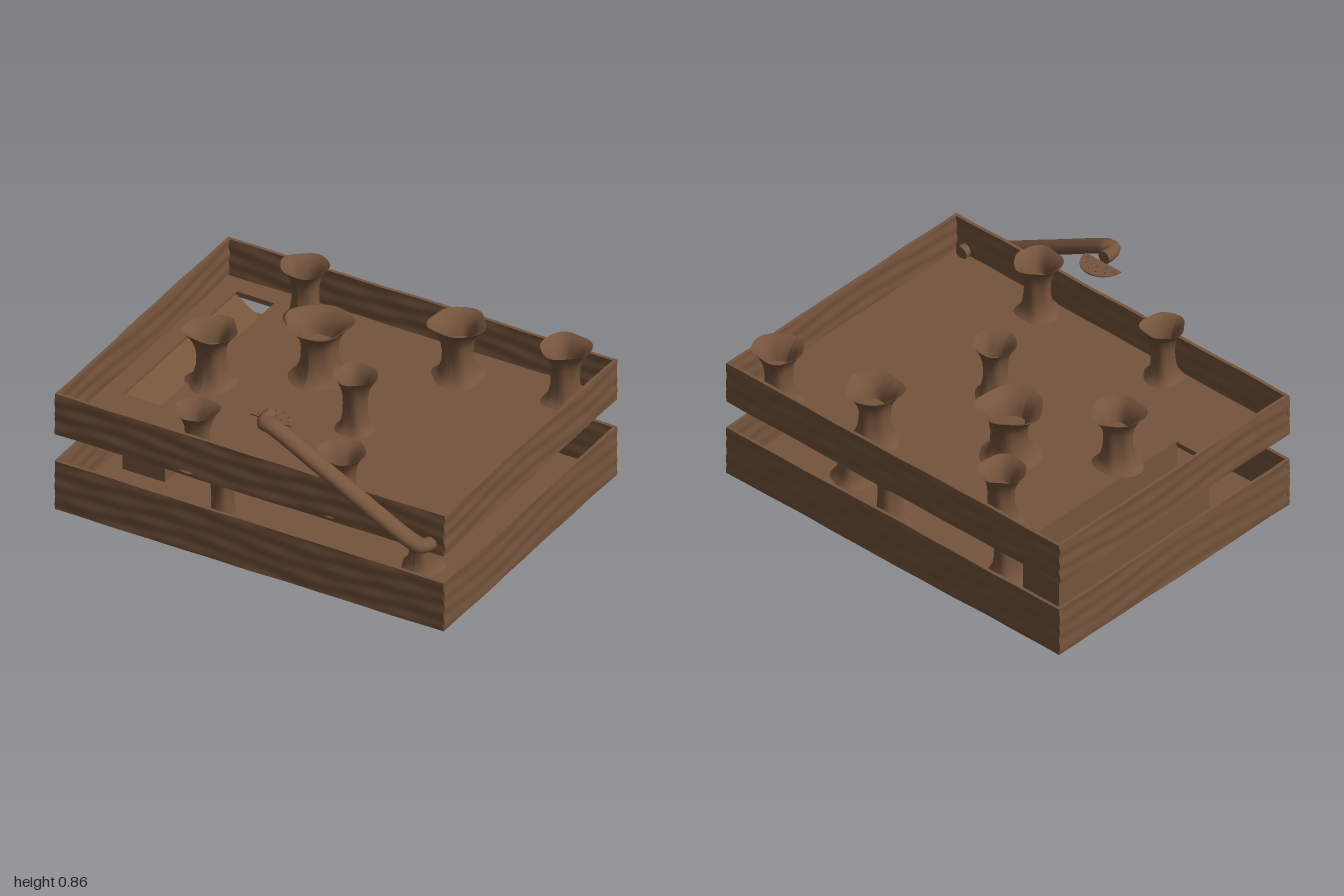
import * as THREE from 'three';

const wood = new THREE.MeshStandardMaterial({ color: 0x75543c });
wood.name = 'brown wood';

function add(parent, geometry, name) {
  const mesh = new THREE.Mesh(geometry, wood);
  mesh.name = name;
  parent.add(mesh);
  return mesh;
}

// Thin plank with shallow, wandering horizontal grain ridges
function plank(length, height, seed) {
  const g = new THREE.BoxGeometry(length, height, 0.016, 64, 14, 1);
  const p = g.attributes.position;
  for (let i = 0; i < p.count; i++) {
    const x = p.getX(i), y = p.getY(i);
    const wave = Math.sin(y * 85 + 1.6 * Math.sin(x * 5 + seed) + seed) + 0.5 * Math.sin(x * 17 + y * 40 + seed * 2);
    p.setZ(i, p.getZ(i) + 0.0022 * wave);
  }
  g.computeVertexNormals();
  return g;
}

function rectPath(path, x0, x1, z0, z1) {
  path.moveTo(x0, -z1);
  path.lineTo(x1, -z1);
  path.lineTo(x1, -z0);
  path.lineTo(x0, -z0);
  path.closePath();
  return path;
}

// Open tray: floor, optionally with a slot, and four planks
function tray(name, y, height, hole) {
  const t = new THREE.Group();
  t.name = name;
  t.position.y = y;
  const shape = rectPath(new THREE.Shape(), -0.985, 0.985, -0.785, 0.695);
  if (hole) shape.holes.push(rectPath(new THREE.Path(), ...hole));
  const floor = new THREE.ExtrudeGeometry(shape, { depth: 0.025, bevelEnabled: false });
  floor.rotateX(-Math.PI / 2);
  add(t, floor, 'trayFloor');
  [[0, 0.70, 0, 1.99], [0, -0.79, 0, 1.99], [0.988, -0.045, Math.PI / 2, 1.5], [-0.988, -0.045, Math.PI / 2, 1.5]]
    .forEach(([x, z, turn, len], i) => {
      const wall = add(t, plank(len, height, i * 1.7 + y * 5), 'trayWall');
      wall.position.set(x, height / 2, z);
      wall.rotation.y = turn;
    });
  return t;
}

// Irregular hourglass post with a funnel-shaped top: [radius factor, height factor]
const outline = [[0.98, 0], [0.8, 0.05], [0.65, 0.14], [0.56, 0.3], [0.54, 0.5], [0.57, 0.66], [0.65, 0.78], [0.8, 0.9], [1, 1]];
const funnel = [[1, 1], [0.82, 0.95], [0.65, 0.86], [0.53, 0.75], [0.46, 0.62]];
const cup = [[0.46, 0.62], [0, 0.62]];

function post(R, H, seed) {
  const g = new THREE.Group();
  g.name = 'post';
  [[outline, 'postStem'], [funnel, 'postFunnel'], [cup, 'postCupBottom']].forEach(([profile, name]) => {
    const geo = new THREE.LatheGeometry(profile.map(([r, y]) => new THREE.Vector2(r * R, y * H)), 30);
    const p = geo.attributes.position;
    for (let i = 0; i < p.count; i++) {
      const a = Math.atan2(p.getZ(i), p.getX(i)), y = p.getY(i) / H;
      const k = 1 + 0.05 * Math.sin(3 * a + seed + y * 2) + 0.035 * Math.sin(5 * a + seed * 2.3 - y * 3);
      p.setX(i, p.getX(i) * k);
      p.setZ(i, p.getZ(i) * k);
    }
    geo.computeVertexNormals();
    add(g, geo, name);
  });
  return g;
}

function posts(parent, list, y, top) {
  list.forEach(([x, z, R], i) => {
    const p = post(R, top - y, i * 1.9 + y * 7);
    p.position.set(x, y, z);
    parent.add(p);
  });
}

export function createModel() {
  const model = new THREE.Group();
  model.name = 'twoTierTray';

  // Trays
  model.add(tray('lowerTray', 0, 0.25));
  model.add(tray('upperTray', 0.39, 0.21, [-0.885, -0.69, -0.68, 0.3]));

  // Posts as [x, z, rim radius]
  posts(model, [[-0.45, -0.54, 0.11], [-0.26, 0.5, 0.095], [-0.01, -0.16, 0.14],
    [0.2, -0.6, 0.1], [0.54, -0.46, 0.115], [0.66, 0.32, 0.108]], 0.02, 0.37);
  posts(model, [[-0.51, -0.64, 0.11], [0.31, -0.58, 0.13], [0.82, -0.65, 0.117], [-0.22, -0.27, 0.152],
    [-0.6, 0.02, 0.122], [0.14, 0.02, 0.1], [-0.32, 0.62, 0.1], [0.41, 0.6, 0.11]], 0.41, 0.69);

  // Chute between the tiers, with a sloping top inside the slot
  const section = new THREE.Shape([[-0.885, 0], [-0.67, 0], [-0.67, 0.392], [-0.69, 0.392], [-0.69, 0.27], [-0.885, 0.4]]
    .map(([x, y]) => new THREE.Vector2(x, y)));
  const chute = new THREE.ExtrudeGeometry(section, { depth: 0.985, bevelEnabled: false });
  chute.translate(0, 0, -0.68);
  add(model, chute, 'chute');

  // Spout pipe, oval in section, bent toward the trays at both ends
  const spout = new THREE.Group();
  spout.name = 'spout';
  model.add(spout);
  const squash = 1.4, cz = 0.752;
  const path = new THREE.CatmullRomCurve3([
    [0.925, 0.44, 0.66], [0.925, 0.44, 0.72], [0.905, 0.44, 0.75], [0.85, 0.455, cz], [0.5, 0.635, cz],
    [0.19, 0.8, cz], [0.14, 0.823, cz], [0.1, 0.825, 0.745], [0.09, 0.825, 0.72], [0.09, 0.825, 0.68],
  ].map(([x, y, z]) => new THREE.Vector3(x, y, (z - cz) / squash)), false, 'centripetal');
  const pipe = add(spout, new THREE.TubeGeometry(path, 80, 0.032, 16), 'pipe');
  pipe.scale.z = squash;
  pipe.position.z = cz;
  [path.getPoint(0), path.getPoint(1)].forEach((end) => {
    const cap = add(spout, new THREE.CircleGeometry(0.032, 16), 'pipeEnd');
    cap.rotation.y = Math.PI;
    cap.position.set(end.x, end.y, end.z * squash + cz);
  });

  // Perforated half-round plate under the spout
  const fan = new THREE.Shape();
  fan.absarc(0, 0, 0.105, 0, Math.PI);
  fan.closePath();
  [[0.045, 3], [0.08, 6]].forEach(([r, n]) => {
    for (let i = 0; i < n; i++) {
      const a = Math.PI * (i + 0.5) / n;
      fan.holes.push(new THREE.Path().absarc(r * Math.cos(a), r * Math.sin(a), 0.005, 0, Math.PI * 2, true));
    }
  });
  const plate = new THREE.ExtrudeGeometry(fan, { depth: 0.006, bevelEnabled: false, curveSegments: 10 });
  plate.rotateX(-Math.PI / 2);
  add(spout, plate, 'sprayPlate').position.set(0.093, 0.793, 0.68);

  return model;
}
